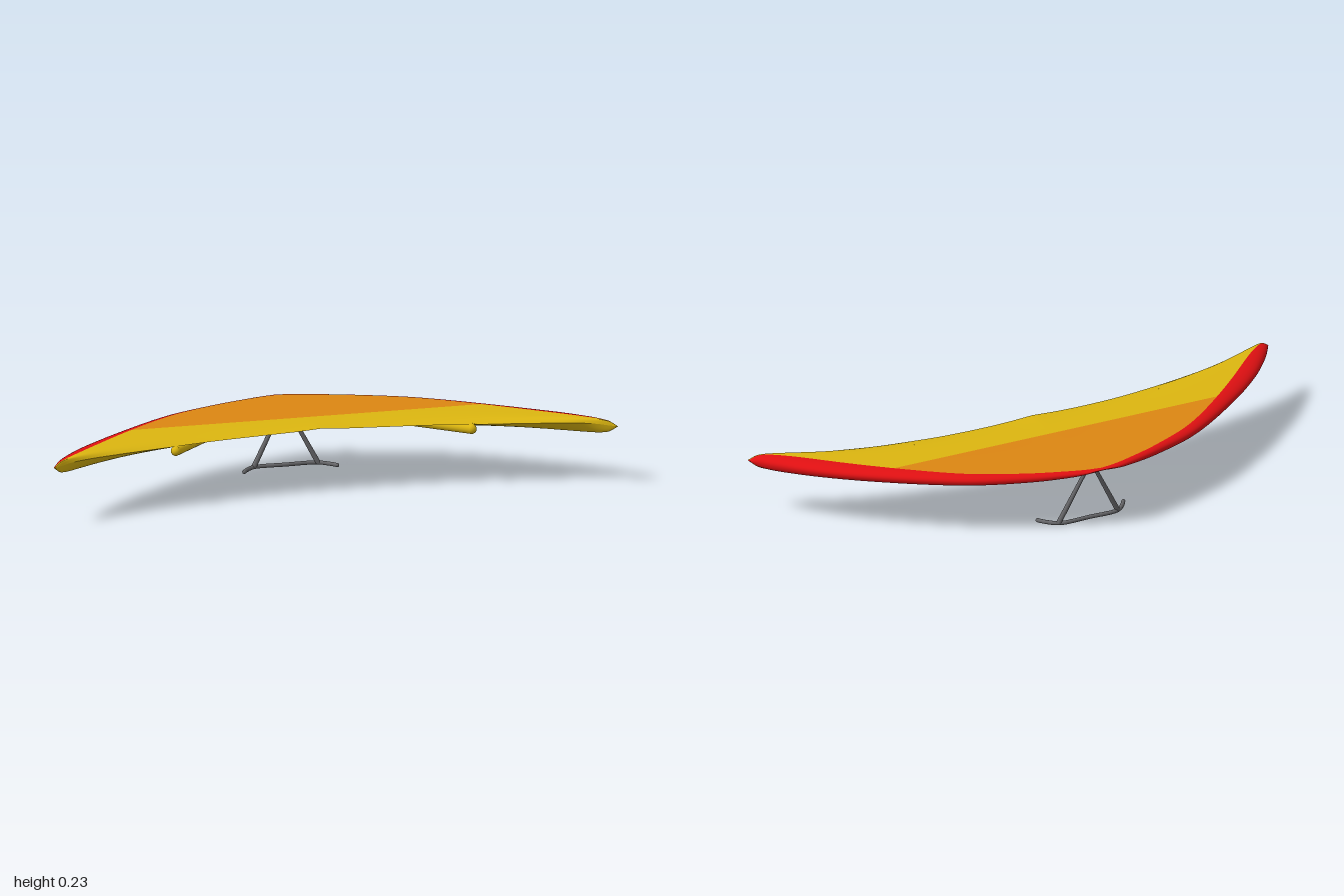
import * as THREE from 'three';

const mat = (name, color) => Object.assign(new THREE.MeshStandardMaterial({ color, side: THREE.DoubleSide }), { name });

// Smooth interpolation through [x, value] pairs
function smooth(p) {
  const slope = i => {
    const a = p[Math.max(i - 1, 0)], b = p[Math.min(i + 1, p.length - 1)];
    return (b[1] - a[1]) / (b[0] - a[0]);
  };
  return x => {
    let i = 0;
    while (i < p.length - 2 && x > p[i + 1][0]) i++;
    const h = p[i + 1][0] - p[i][0], t = (x - p[i][0]) / h, s = 1 - t;
    return p[i][1] * (1 + 2 * t) * s * s + p[i + 1][1] * t * t * (3 - 2 * t)
      + h * slope(i) * t * s * s - h * slope(i + 1) * t * t * s;
  };
}

// Plan outline and thickness along the half span
const lead = smooth([[0, -0.345], [0.05, -0.338], [0.1, -0.325], [0.25, -0.273], [0.45, -0.18], [0.69, 0], [0.85, 0.145], [0.95, 0.262], [1, 0.335]]);
const trail = smooth([[0, 0.165], [0.2, 0.169], [0.4, 0.187], [0.72, 0.25], [0.9, 0.305], [1, 0.345]]);
const bandWidth = smooth([[0, 0.015], [0.3, 0.025], [0.62, 0.055], [0.85, 0.075], [0.95, 0.05], [1, 0.005]]);
const topY = smooth([[0, 0.229], [0.45, 0.229], [0.75, 0.229], [0.9, 0.229], [0.97, 0.222], [1, 0.204]]);
const bottomY = smooth([[0, 0.224], [0.1, 0.21], [0.25, 0.2], [0.45, 0.193], [0.69, 0.184], [0.9, 0.18], [0.97, 0.185], [1, 0.203]]);

const BATTEN_X = 0.53;
const sailFront = x => lead(x) + bandWidth(x);
// Upper sail: flat, rolling down at the trailing edge
function sailY(x, z) {
  const t = THREE.MathUtils.clamp((z - sailFront(x)) / (trail(x) - sailFront(x)), 0, 1);
  return topY(x) - Math.min(0.016, 0.4 * (topY(x) - bottomY(x))) * Math.pow(t, 9);
}
// Lower skin: runs from the leading edge to the batten line, or to the trailing edge outboard
const lowerFront = x => lead(x) + 0.5 * bandWidth(x);
const lowerBack = x => Math.max(lowerFront(x), x < BATTEN_X ? Math.min(trail(x), -0.32 + x * 0.99) : trail(x));
function lowerY(x, z) {
  const z0 = lowerFront(x), z1 = lowerBack(x);
  const u = z1 - z0 < 1e-5 ? 1 : (z - z0) / (z1 - z0);
  return THREE.MathUtils.lerp(bottomY(x), sailY(x, z1), u ** 4)
    - 0.12 * (topY(x) - bottomY(x)) * Math.sin(Math.PI * u);
}

// Grid across the whole span; point(x, v) returns [y, z] for the half span
function spanSurface(rows, point) {
  const cols = 160, pos = [], index = [];
  for (let i = 0; i <= cols; i++) {
    const x = Math.sin((i / cols - 0.5) * Math.PI * 0.9) / Math.sin(Math.PI * 0.45);
    for (let j = 0; j <= rows; j++) {
      const [y, z] = point(Math.min(Math.abs(x), 1), j / rows);
      pos.push(x, y, z);
    }
  }
  for (let i = 0; i < cols; i++) for (let j = 0; j < rows; j++) {
    const a = i * (rows + 1) + j, b = a + rows + 1;
    index.push(a, a + 1, b, b, a + 1, b + 1);
  }
  const g = new THREE.BufferGeometry();
  g.setAttribute('position', new THREE.Float32BufferAttribute(pos, 3));
  g.setIndex(index);
  g.computeVertexNormals();
  return g;
}

// Strip of a skin between two z limits
const panel = (height, from, to) => spanSurface(16, (x, v) => {
  const z = THREE.MathUtils.lerp(from(x), to(x), v);
  return [height(x, z), z];
});

// Tapered round bar between two points
function bar(a, b, ra, rb) {
  const d = b.clone().sub(a);
  const g = new THREE.CylinderGeometry(rb, ra, d.length(), 16);
  g.applyQuaternion(new THREE.Quaternion().setFromUnitVectors(new THREE.Vector3(0, 1, 0), d.normalize()));
  return g.translate((a.x + b.x) / 2, (a.y + b.y) / 2, (a.z + b.z) / 2);
}

export function createModel() {
  const group = new THREE.Group();
  const red = mat('red', 0xe01012), orange = mat('orange', 0xdc8612);
  const yellow = mat('yellow', 0xdcb610), grey = mat('grey', 0x666669);
  const add = (name, geometry, material) => {
    const m = new THREE.Mesh(geometry, material);
    m.name = name;
    group.add(m);
    return m;
  };
  const V = (x, y, z) => new THREE.Vector3(x, y, z);

  // Rounded leading edge
  add('leadingEdge', spanSurface(16, (x, v) => {
    const a = v * Math.PI, w = bandWidth(x) * (v < 0.5 ? 1 : 0.5);
    const mid = (topY(x) + bottomY(x)) / 2, half = (topY(x) - bottomY(x)) / 2;
    return [mid + half * Math.cos(a), lead(x) + w * (1 - Math.sin(a))];
  }), red);

  // Upper and lower skins, changing colour at z = 0
  const upperSplit = x => Math.max(0, sailFront(x));
  add('upperSailRear', panel(sailY, sailFront, upperSplit), orange);
  add('upperSailFront', panel(sailY, upperSplit, trail), yellow);
  const lowerSplit = x => THREE.MathUtils.clamp(0, lowerFront(x), lowerBack(x));
  add('lowerSkinRear', panel(lowerY, lowerFront, lowerSplit), orange);
  add('lowerSkinFront', panel(lowerY, lowerSplit, lowerBack), yellow);

  for (const s of [-1, 1]) {
    // Diagonal batten pockets under the sail
    const start = V(s * 0.05, 0.206, -0.27), middle = V(s * 0.323, 0.199, 0), end = V(s * 0.525, 0.196, 0.2);
    add('battenPocketRear', bar(start, middle, 0.014, 0.017), orange);
    add('battenPocketFront', bar(middle, end, 0.017, 0.017), yellow);
    add('battenPocketEnd', new THREE.SphereGeometry(0.017, 16, 10), yellow).position.copy(end);
    add('battenPocketNose', new THREE.SphereGeometry(0.014, 16, 10), orange).position.copy(start);

    // Control frame uprights, widened along z towards the foot
    add('controlUpright', bar(V(s * 0.114, 0.008, -0.232), V(0, 0.222, -0.252), 0.009, 0.006), grey);
  }

  // Control bar with ends swept forwards
  const path = new THREE.CatmullRomCurve3([
    V(-0.165, 0.008, -0.177), V(-0.145, 0.008, -0.205), V(-0.11, 0.008, -0.234), V(0, 0.008, -0.236),
    V(0.11, 0.008, -0.234), V(0.145, 0.008, -0.205), V(0.165, 0.008, -0.177)
  ]);
  add('controlBar', new THREE.TubeGeometry(path, 60, 0.007, 12), grey);
  for (const s of [-1, 1])
    add('controlBarEnd', new THREE.SphereGeometry(0.007, 12, 8), grey).position.set(s * 0.165, 0.008, -0.177);

  // Settle the model on the ground
  group.updateMatrixWorld(true);
  const base = new THREE.Box3().setFromObject(group, true).min.y;
  group.children.forEach(m => { m.position.y -= base; });
  return group;
}
